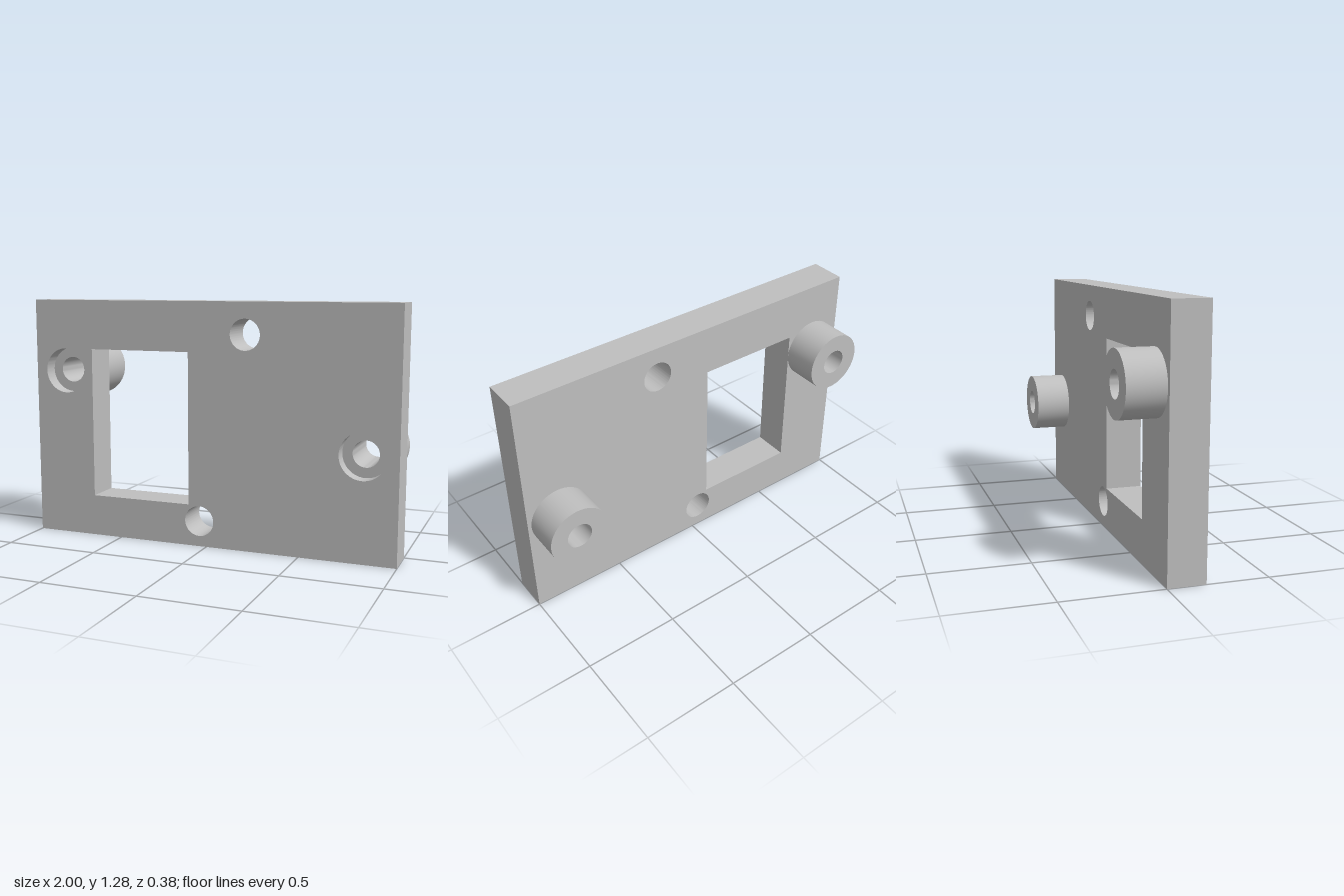
import * as THREE from 'three';
import { toCreasedNormals } from 'three/addons/utils/BufferGeometryUtils.js';

const THICK = 0.19, HEIGHT = 1.28, SEGMENTS = 48;
const BORE = 0.068, COUNTERBORE = 0.12, BOSS = 0.16, COUNTERBORE_DEPTH = 0.075;
const bossCentres = [[-0.82, 0.9], [0.82, 0.54]];
const throughHoles = [[0.21, 1.115], [-0.04, 0.135]];

function rectangle(path, x0, y0, x1, y1) {
  path.moveTo(x0, y0);
  path.lineTo(x1, y0);
  path.lineTo(x1, y1);
  path.lineTo(x0, y1);
  path.closePath();
  return path;
}

function circle(x, y, r) {
  return new THREE.Path().absarc(x, y, r, 0, Math.PI * 2, true);
}

export function createModel() {
  const model = new THREE.Group();
  model.name = 'mountingPlate';
  const grey = new THREE.MeshStandardMaterial({ color: 0xbfbfbf });
  grey.name = 'grey';

  // Plate with a rectangular window, two through holes and two counterbores
  const outline = rectangle(new THREE.Shape(), -1, 0, 1, HEIGHT);
  outline.holes.push(rectangle(new THREE.Path(), -0.66, 0.22, -0.1, 1.02));
  for (const [x, y] of throughHoles) outline.holes.push(circle(x, y, 0.08));
  for (const [x, y] of bossCentres) outline.holes.push(circle(x, y, COUNTERBORE));
  const plateGeometry = new THREE.ExtrudeGeometry(outline, {
    depth: THICK, bevelEnabled: false, curveSegments: SEGMENTS,
  });
  const plate = new THREE.Mesh(toCreasedNormals(plateGeometry, 0.6), grey);
  plate.name = 'plate';
  model.add(plate);

  // Rear bosses: outer wall, end ring, bore and counterbore floor
  const floor = COUNTERBORE_DEPTH - THICK;
  const profile = [
    [BOSS, 0], [BOSS, THICK], [BORE, THICK], [BORE, floor], [COUNTERBORE, floor],
  ].map(([r, h]) => new THREE.Vector2(r, h));
  const bossGeometry = toCreasedNormals(new THREE.LatheGeometry(profile, SEGMENTS), 0.6);
  bossGeometry.rotateX(-Math.PI / 2);
  bossCentres.forEach(([x, y], i) => {
    const boss = new THREE.Mesh(bossGeometry, grey);
    boss.name = i ? 'leftBoss' : 'rightBoss';
    boss.position.set(x, y, 0);
    model.add(boss);
  });

  return model;
}
